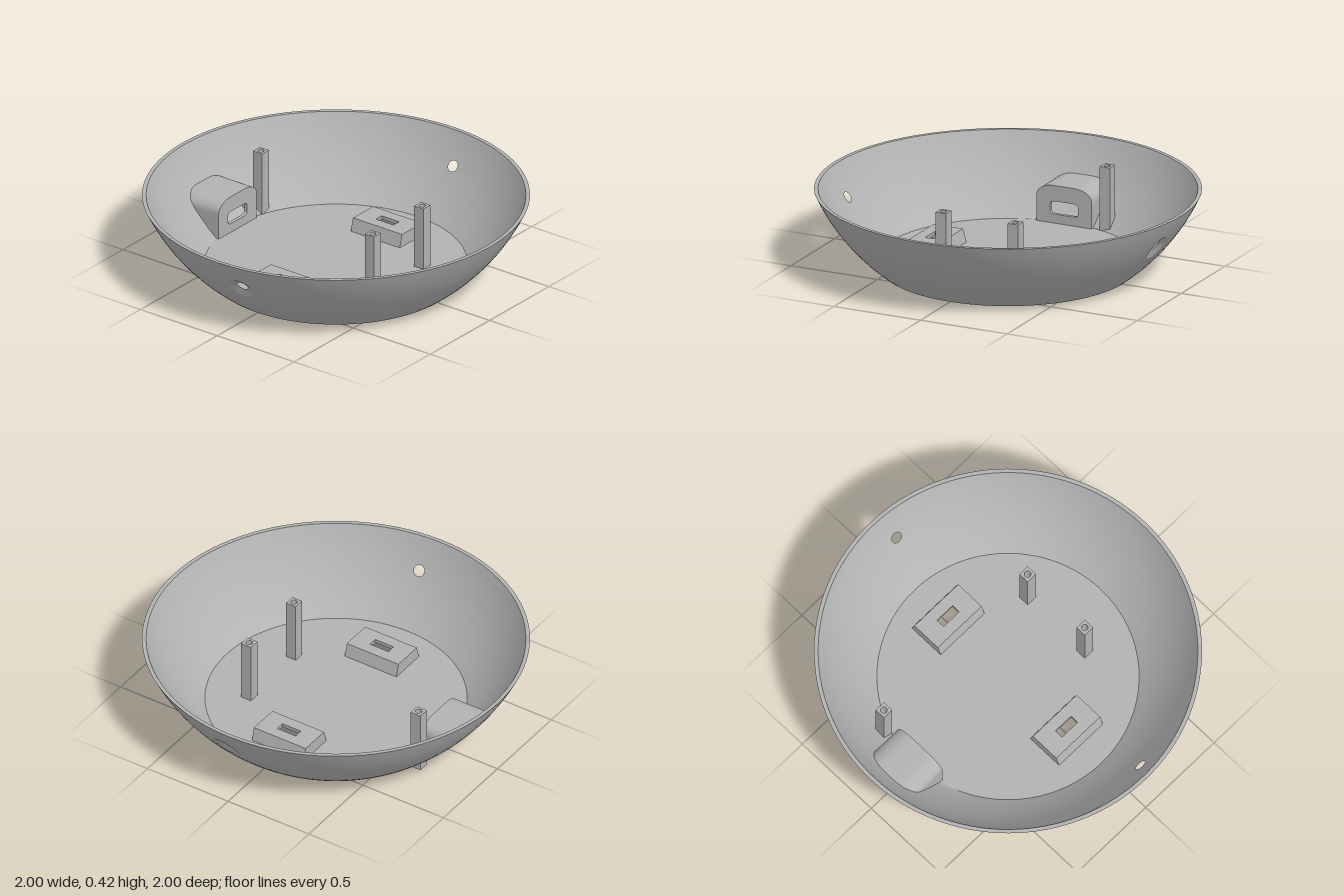
import * as THREE from 'three';
import { mergeGeometries, toCreasedNormals } from 'three/addons/utils/BufferGeometryUtils.js';

const V = (x, y, z) => new THREE.Vector3(x, y, z);
const N = 16;                 // segments per patch side (45 degrees of the bowl)
const SEGS = N * 8;           // segments round the bowl
const CY = 0.88;              // height of the sphere centre the bowl is cut from
const OUTER = 1.1, INNER = 1.081, RIM_Y = 0.42, FLOOR_Y = 0.036;
const radiusAt = (R, y) => Math.sqrt(R * R - (y - CY) ** 2);

// Skin a grid of rows of points; flip turns the faces round
function skin(rows, flip = false) {
  const pos = [];
  for (let i = 0; i < rows.length - 1; i++) {
    for (let j = 0; j < rows[i].length - 1; j++) {
      const a = rows[i][j], b = rows[i][j + 1], c = rows[i + 1][j + 1], d = rows[i + 1][j];
      for (const p of flip ? [a, c, b, a, d, c] : [a, b, c, a, c, d]) pos.push(p.x, p.y, p.z);
    }
  }
  const g = new THREE.BufferGeometry();
  g.setAttribute('position', new THREE.Float32BufferAttribute(pos, 3));
  return g;
}

// Closed walk round the square -1..1, counter-clockwise
const square = [];
for (let k = 0; k <= 4 * N; k++) {
  const side = Math.floor(k / N) % 4, t = -1 + 2 * (k % N) / N;
  square.push([[1, t], [-t, 1], [-1, -t], [t, -1]][side]);
}

// Round the corners of that square; r = 1 gives a circle
function rounded([u, v], r, squareBase = false) {
  if (squareBase && v < 0) return [u, v];
  const lim = 1 - r;
  const cu = THREE.MathUtils.clamp(u, -lim, lim), cv = THREE.MathUtils.clamp(v, -lim, lim);
  const l = Math.hypot(u - cu, v - cv);
  return [cu + (u - cu) / l * r, cv + (v - cv) / l * r];
}

// Outline of a round hole drilled square to the wall
function drillRing(R, sign, r) {
  const n = V(0.078, -0.625, 0.9 * sign).normalize();
  const e1 = V(-n.z, 0, n.x).normalize();
  const e2 = V(0, 1, 0).addScaledVector(n, -n.y).normalize();
  return square.map(s => {
    const [u, v] = rounded(s, 1);
    const p = n.clone().multiplyScalar(R).addScaledVector(e1, u * r).addScaledVector(e2, v * r);
    return p.setLength(R).add(V(0, CY, 0));
  });
}

// Arched outline of the port; x is a fixed plane or follows the sphere R
function portRing({ x, R, half, y0, y1, r = 0.62, base = true }) {
  return square.map(s => {
    const [u, v] = rounded(s, r, base);
    const z = u * half, y = (y0 + y1) / 2 + v * (y1 - y0) / 2;
    return V(R ? -Math.sqrt(R * R - (y - CY) ** 2 - z * z) : x, y, z);
  });
}

// Spherical wall made of plain sectors and three patches with holes
function wall(R, y0, holes, flip) {
  const at = (phi, y) => V(radiusAt(R, y) * Math.cos(phi), y, radiusAt(R, y) * Math.sin(phi));
  const step = Math.PI * 2 / SEGS, parts = [];
  for (const [start, count] of [[2.5 * N, N], [4.5 * N, N], [6.5 * N, 3 * N]]) {
    const rows = [];
    for (let i = 0; i <= N; i++) {
      const y = y0 + (RIM_Y - y0) * i / N, row = [];
      for (let j = 0; j <= count; j++) row.push(at((start + j) % SEGS * step, y));
      rows.push(row);
    }
    parts.push(skin(rows, flip));
  }
  for (const { mid, ring } of holes) {
    const rows = [];
    for (let i = 0; i <= 8; i++) {
      const t = i / 8;
      rows.push(square.map(([u, v], k) => {
        const p = ring[k];
        const phi = (Math.atan2(p.z, p.x) + Math.PI * 2) % (Math.PI * 2);
        const edgePhi = mid * N * step + u * N / 2 * step;
        const edgeY = (y0 + RIM_Y) / 2 + v * (RIM_Y - y0) / 2;
        return at(edgePhi + (phi - edgePhi) * t, edgeY + (p.y - edgeY) * t);
      }));
    }
    parts.push(skin(rows, flip));
  }
  return toCreasedNormals(mergeGeometries(parts), 0.5);
}

// Rectangle ring at height y, and a rectangular hole path
const rectRing = (hx, z0, z1, y) =>
  [[hx, z1], [hx, z0], [-hx, z0], [-hx, z1], [hx, z1]].map(([x, z]) => V(x, y, z));
const rectPath = (hx, y0, y1, P = THREE.Path) =>
  new P([[-hx, y0], [-hx, y1], [hx, y1], [hx, y0]].map(([x, y]) => new THREE.Vector2(x, y)));

export function createModel() {
  const model = new THREE.Group();
  model.name = 'roundEnclosure';
  const grey = new THREE.MeshStandardMaterial({ color: 0xb2b2b2, side: THREE.DoubleSide });
  grey.name = 'plainGrey';
  const add = (name, geometry) => {
    const mesh = new THREE.Mesh(geometry, grey);
    mesh.name = name;
    model.add(mesh);
    return mesh;
  };

  // Bowl walls with two screw holes and the port opening
  const outerPort = portRing({ R: OUTER, half: 0.14, y0: 0.012, y1: 0.22 });
  const innerPort = portRing({ R: INNER, half: 0.14, y0: 0.042, y1: 0.22 });
  add('outerWall', wall(OUTER, 0, [
    { mid: 2, ring: drillRing(OUTER, 1, 0.075) },
    { mid: 6, ring: drillRing(OUTER, -1, 0.075) },
    { mid: 4, ring: outerPort }], true));
  add('innerWall', wall(INNER, FLOOR_Y, [
    { mid: 2, ring: drillRing(INNER, 1, 0.03) },
    { mid: 6, ring: drillRing(INNER, -1, 0.03) },
    { mid: 4, ring: innerPort }], false));
  const rim = new THREE.RingGeometry(radiusAt(INNER, RIM_Y), radiusAt(OUTER, RIM_Y), SEGS);
  add('rim', rim.rotateX(-Math.PI / 2).translate(0, RIM_Y, 0));

  // Countersinks of the screw holes
  for (const sign of [1, -1]) {
    const rows = [drillRing(OUTER, sign, 0.075), drillRing(INNER, sign, 0.03)];
    add(sign > 0 ? 'frontCountersink' : 'backCountersink', toCreasedNormals(skin(rows, true), 0.5));
  }

  // Floor, open under the two raised mounts
  const mounts = [-0.435, 0.425];
  for (const [name, R, y, dir] of [['floorTop', INNER, FLOOR_Y, -1], ['floorUnderside', OUTER, 0, 1]]) {
    const disc = new THREE.Shape().absarc(0, 0, radiusAt(R, y), 0, Math.PI * 2);
    for (const z of mounts) disc.holes.push(rectPath(0.14, dir * z - 0.09, dir * z + 0.09));
    add(name, new THREE.ShapeGeometry(disc, SEGS).rotateX(dir * Math.PI / 2).translate(0, y, 0));
  }

  // Hollow mounts with sloping sides and a slot in the top
  for (const z of mounts) {
    const rows = [
      rectRing(0.16, -0.105, 0.105, FLOOR_Y), rectRing(0.16, -0.085, 0.085, 0.105),
      rectRing(0.057, -0.024, 0.024, 0.105), rectRing(0.057, -0.024, 0.024, 0.085),
      rectRing(0.14, -0.068, 0.068, 0.085), rectRing(0.14, -0.09, 0.09, 0)];
    add(z < 0 ? 'backMount' : 'frontMount', toCreasedNormals(skin(rows), 0.1)).position.z = z;
  }

  // Port housing: shell, face, slot and the recess open to the outside
  const slot = { half: 0.08, y0: 0.085, y1: 0.155, r: 0.4, base: false };
  const shell = { half: 0.16, y0: FLOOR_Y, y1: 0.24 };
  add('portHousing', toCreasedNormals(skin([
    portRing({ ...shell, R: INNER }), portRing({ ...shell, x: -0.64 }),
    portRing({ ...slot, x: -0.64 }), portRing({ ...slot, x: -0.66 }),
    portRing({ x: -0.66, half: 0.14, y0: 0.042, y1: 0.22 }), outerPort], true), 0.5));

  // Square posts with a screw hole down the middle
  for (const [x, z] of [[-0.67, -0.235], [0.38, -0.235], [0.38, 0.18]]) {
    const section = rectPath(0.03, -0.03, 0.03, THREE.Shape);
    section.holes.push(new THREE.Path().absarc(0, 0, 0.017, 0, Math.PI * 2));
    const post = new THREE.ExtrudeGeometry(section, { depth: 0.35, bevelEnabled: false, curveSegments: 12 });
    add('post', post.rotateX(-Math.PI / 2)).position.set(x, 0.032, z);
  }
  return model;
}
